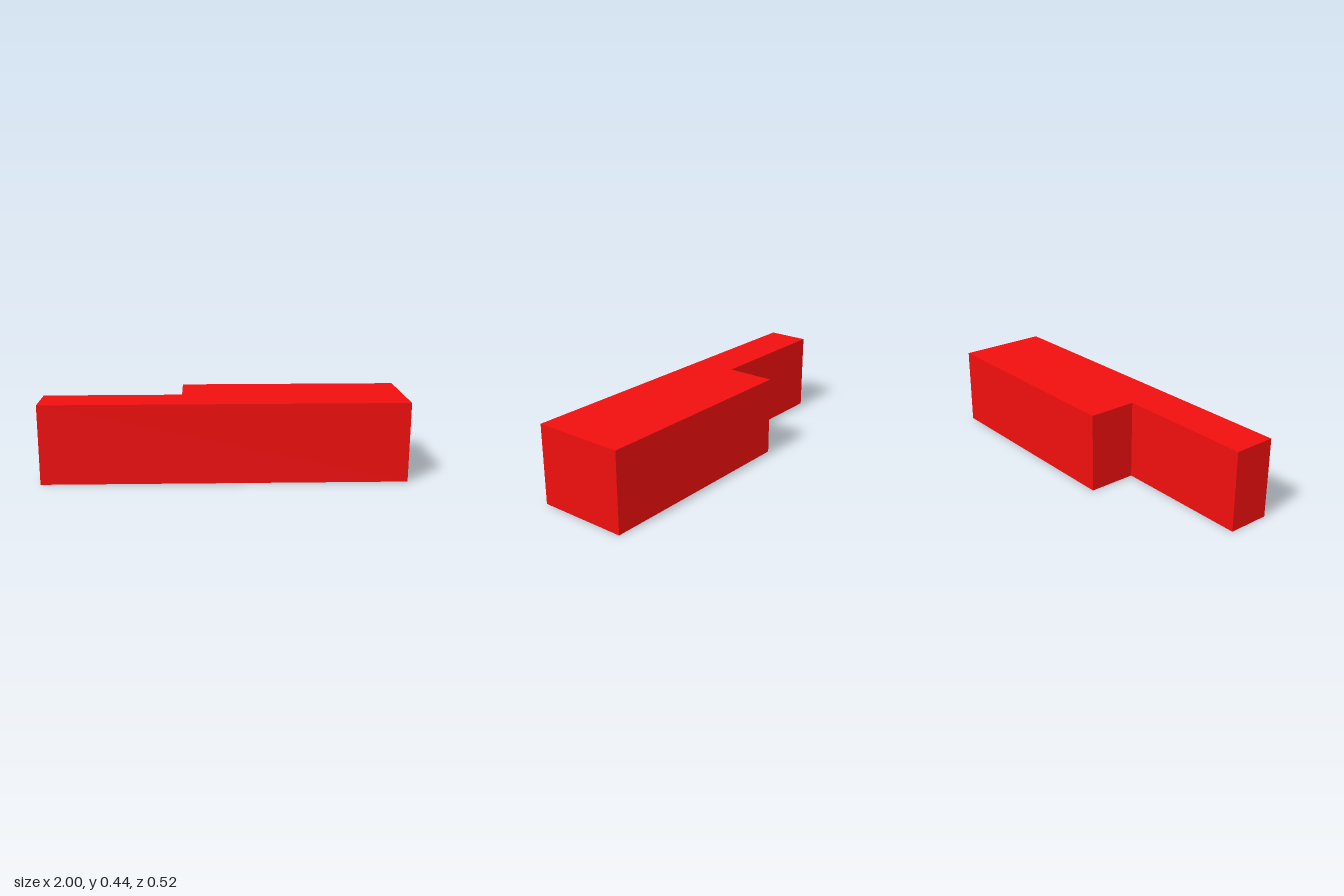
import * as THREE from 'three';

const HEIGHT = 0.442;

// Stepped footprint as [x, z] corners, slightly skewed
const FOOTPRINT = [
  [-1, 0.259],
  [1, 0.251],
  [0.998, -0.259],
  [-0.235, -0.254],
  [-0.234, 0.019],
  [-1, 0.023],
];

export function createModel() {
  const model = new THREE.Group();
  model.name = 'steppedBuilding';

  // Shape y is -z, so that the extrusion rises along +y once laid flat
  const outline = new THREE.Shape(FOOTPRINT.map(([x, z]) => new THREE.Vector2(x, -z)));
  const geometry = new THREE.ExtrudeGeometry(outline, { depth: HEIGHT, bevelEnabled: false });
  geometry.rotateX(-Math.PI / 2);

  const block = new THREE.Mesh(geometry, new THREE.MeshStandardMaterial({ color: 0xf00e0e }));
  block.name = 'buildingBlock';
  model.add(block);
  return model;
}
